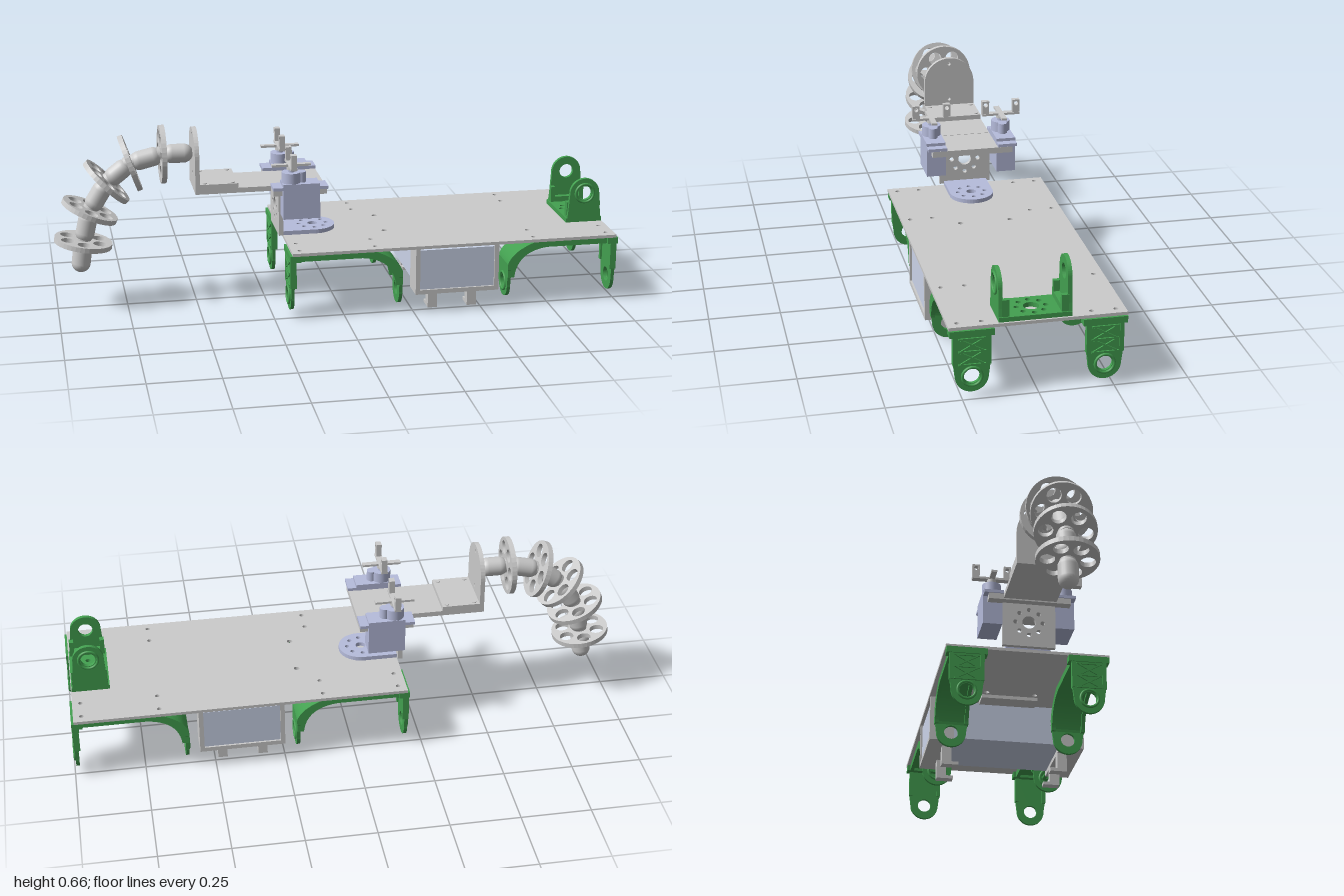
import * as THREE from 'three';

const mat = (color) => new THREE.MeshStandardMaterial({ color });
const GREY = mat(0xcccccc), GREEN = mat(0x43a050), BLUE = mat(0xccd5ea), SERVO = mat(0xb6bcdc);

function add(parent, name, geometry, material) {
  const mesh = new THREE.Mesh(geometry, material);
  mesh.name = name;
  parent.add(mesh);
  return mesh;
}

// Box given by its limits on each axis
function box(parent, name, material, x0, x1, y0, y1, z0, z1) {
  const mesh = add(parent, name, new THREE.BoxGeometry(x1 - x0, y1 - y0, z1 - z0), material);
  mesh.position.set((x0 + x1) / 2, (y0 + y1) / 2, (z0 + z1) / 2);
  return mesh;
}

function outline(points, holes = []) {
  const s = new THREE.Shape(points.map(([a, b]) => new THREE.Vector2(a, b)));
  for (const [a, b, r] of holes) s.holes.push(new THREE.Path().absarc(a, b, r, 0, Math.PI * 2, true));
  return s;
}
const extrude = (shape, depth) => new THREE.ExtrudeGeometry(shape, { depth, bevelEnabled: false, curveSegments: 20 });
// Shape in (x, z), top face at the given height
const flat = (shape, top, t) => extrude(shape, t).rotateX(Math.PI / 2).translate(0, top, 0);
// Shape in (z, y), largest x given
const upright = (shape, xMax, t) => extrude(shape, t).rotateY(-Math.PI / 2).translate(xMax, 0, 0);

const ringHoles = (cx, cy, ring, r, n) => Array.from({ length: n }, (_, i) => {
  const a = (i / n) * Math.PI * 2;
  return [cx + ring * Math.cos(a), cy + ring * Math.sin(a), r];
});

// Points of a semicircle, counter-clockwise from angle a0
const half = (cx, cy, r, a0) => Array.from({ length: 25 }, (_, i) => {
  const a = a0 + (i / 24) * Math.PI;
  return [cx + r * Math.cos(a), cy + r * Math.sin(a)];
});

// Curved band of the leg bracket, seen from the front
function archShape(t) {
  const s = new THREE.Shape();
  s.moveTo(-0.19, 0.243);
  s.lineTo(-0.19, 0.243 - t);
  s.lineTo(0.06, 0.243 - t);
  s.bezierCurveTo(0.13, 0.237 - t, 0.2 - t, 0.18, 0.207 - t, 0.11);
  s.lineTo(0.207, 0.11);
  s.lineTo(0.207, 0.16);
  s.bezierCurveTo(0.195, 0.2, 0.15, 0.225, 0.1, 0.243);
  return s;
}

// Leg bracket: straight outer arm on -x, arched inner arm on +x
function legBracket() {
  const g = new THREE.Group();
  g.name = 'legBracket';
  add(g, 'archSheet', extrude(archShape(0.012), 0.1).translate(0, 0, -0.05), GREEN);
  for (const s of [-1, 1]) {
    add(g, 'archRail', extrude(archShape(0.024), 0.014).translate(0, 0, s * 0.055 - 0.007), GREEN);
    box(g, 'armRail', GREEN, -0.197, -0.175, 0.12, 0.23, s * 0.055 - 0.007, s * 0.055 + 0.007);
  }
  const arm = (top) => outline(
    [[0.0625, top], [-0.0625, top], [-0.06, 0.12], ...half(0, 0.08, 0.055, Math.PI), [0.06, 0.12]],
    [[0, 0.08, 0.026]]);
  add(g, 'outerArm', upright(arm(0.24), -0.182, 0.012), GREEN);
  add(g, 'innerArm', upright(arm(0.14), 0.207, 0.012), GREEN);
  box(g, 'outerLip', GREEN, -0.198, -0.16, 0.22, 0.243, -0.073, 0.073);
  for (const x of [-0.196, 0.207]) {
    const ring = add(g, 'jointRing', new THREE.TorusGeometry(0.032, 0.005, 8, 28).rotateY(Math.PI / 2), GREEN);
    ring.position.set(x, 0.08, 0);
  }
  // crossed ribs on the outer arm
  for (const y of [0.145, 0.19]) for (const s of [-1, 1]) {
    const rib = add(g, 'rib', new THREE.BoxGeometry(0.006, 0.006, 0.085), GREEN);
    rib.position.set(-0.196, y, 0);
    rib.rotation.x = s * 0.5;
  }
  for (const y of [0.122, 0.168, 0.213]) box(g, 'crossRib', GREEN, -0.199, -0.19, y - 0.003, y + 0.003, -0.045, 0.045);
  return g;
}

// U-shaped servo bracket on the deck
function deckBracket() {
  const g = new THREE.Group();
  g.name = 'deckBracket';
  const base = outline([[0.852, -0.11], [0.987, -0.11], [0.987, 0.13], [0.852, 0.13]],
    [[0.92, 0.01, 0.026], ...ringHoles(0.92, 0.01, 0.048, 0.009, 8)]);
  add(g, 'bracketBase', flat(base, 0.272, 0.016), GREEN);
  for (const [z, cy, s] of [[0.116, 0.365, 1], [-0.11, 0.385, -1]]) {
    const arm = outline([[0.855, 0.256], [0.985, 0.256], [0.98, 0.3], ...half(0.92, cy, 0.055, 0), [0.86, 0.3]],
      [[0.92, cy, 0.026]]);
    add(g, 'bracketArm', extrude(arm, 0.014).translate(0, 0, z), GREEN);
    const ring = add(g, 'bracketRing', new THREE.TorusGeometry(0.034, 0.005, 8, 28), GREEN);
    ring.position.set(0.92, cy, z + 0.007 + s * 0.007);
    const inside = z + 0.007 - s * 0.016;
    for (const x of [0.865, 0.975]) box(g, 'bracketRib', GREEN, x - 0.008, x + 0.008, 0.27, 0.33, inside - 0.012, inside + 0.012);
    box(g, 'bracketFoot', GREEN, 0.86, 0.98, 0.262, 0.292, inside - 0.012, inside + 0.012);
  }
  return g;
}

// Servo with cross horn and two drilled posts
function servo() {
  const g = new THREE.Group();
  g.name = 'servo';
  box(g, 'servoBody', SERVO, -0.202, -0.07, 0.34, 0.468, -0.035, 0.035);
  box(g, 'servoEars', SERVO, -0.237, -0.04, 0.446, 0.457, -0.035, 0.035);
  add(g, 'gearCap', new THREE.CylinderGeometry(0.034, 0.034, 0.04, 28), SERVO).position.set(-0.168, 0.486, 0);
  add(g, 'smallCap', new THREE.CylinderGeometry(0.017, 0.017, 0.04, 20), SERVO).position.set(-0.132, 0.486, 0);
  add(g, 'shaft', new THREE.CylinderGeometry(0.012, 0.012, 0.03, 16), SERVO).position.set(-0.168, 0.515, 0);
  add(g, 'hornHub', new THREE.CylinderGeometry(0.016, 0.016, 0.018, 20), GREY).position.set(-0.168, 0.524, 0);
  box(g, 'hornBar', GREY, -0.18, -0.156, 0.527, 0.535, -0.07, 0.07);
  box(g, 'hornCrossBar', GREY, -0.238, -0.098, 0.527, 0.535, -0.01, 0.01);
  for (const s of [-1, 1]) {
    const z = s * 0.057;
    const post = outline([[z - 0.013, 0.53], [z + 0.013, 0.53], [z + 0.013, 0.583], [z - 0.013, 0.583]], [[z, 0.569, 0.008]]);
    add(g, 'hornPost', upright(post, -0.158, 0.02), GREY);
  }
  return g;
}

// Bending arm: drilled discs joined by rounded links
function tentacle() {
  const g = new THREE.Group();
  g.name = 'flexibleArm';
  const pts = [[-0.5, 0.557], [-0.61, 0.557], [-0.725, 0.53], [-0.81, 0.465], [-0.873, 0.363], [-0.9, 0.247], [-0.915, 0.135]]
    .map(([x, y]) => new THREE.Vector3(x, y, 0));
  const tilts = [180, 199, 225, 246, 260];
  const up = new THREE.Vector3(0, 1, 0);
  for (let i = 0; i < pts.length - 1; i++) {
    const dir = pts[i + 1].clone().sub(pts[i]);
    const len = dir.length();
    const link = add(g, 'link', new THREE.CapsuleGeometry(0.034, len - 0.068, 8, 24), GREY);
    link.position.copy(pts[i]).addScaledVector(dir, 0.5);
    link.quaternion.setFromUnitVectors(up, dir.normalize());
  }
  const disc = new THREE.Shape().absarc(0, 0, 0.104, 0, Math.PI * 2);
  for (const [a, b, r] of ringHoles(0, 0, 0.066, 0.025, 6)) disc.holes.push(new THREE.Path().absarc(a, b, r, 0, Math.PI * 2, true));
  const geometry = extrude(disc, 0.018).translate(0, 0, -0.009).rotateY(Math.PI / 2);
  tilts.forEach((deg, i) => {
    const holder = new THREE.Group();
    holder.name = 'discJoint';
    add(holder, 'disc', geometry, GREY);
    add(holder, 'discHub', new THREE.CylinderGeometry(0.027, 0.027, 0.04, 20).rotateZ(Math.PI / 2), GREY);
    holder.position.copy(pts[i + 1]);
    holder.rotation.z = THREE.MathUtils.degToRad(deg);
    g.add(holder);
  });
  return g;
}

export function createModel() {
  const model = new THREE.Group();
  model.name = 'walkingRobot';

  // Deck with screw holes
  const holes = [[0.18, 0.09, 0.01], [0.18, -0.09, 0.01]];
  for (const x of [-0.16, 0.11, 0.69, 0.96]) for (const z of [-0.26, -0.18, 0.18, 0.26]) holes.push([x, z, 0.008]);
  add(model, 'deck', flat(outline([[-0.19, -0.293], [0.99, -0.293], [0.99, 0.293], [-0.19, 0.293]], holes), 0.254, 0.011), GREY);

  // Leg brackets
  for (const z of [-0.218, 0.218]) for (const back of [0, 1]) {
    const b = legBracket();
    b.position.set(back * 0.8, 0, z);
    b.rotation.y = back * Math.PI;
    model.add(b);
  }
  model.add(deckBracket());

  // Battery, its end frames and feet
  box(model, 'battery', BLUE, 0.267, 0.54, 0.088, 0.235, -0.283, 0.283);
  box(model, 'mountPlate', GREY, 0.2, 0.6, 0.23, 0.243, -0.105, 0.105);
  for (const s of [-1, 1]) {
    const z = s * 0.245;
    box(model, 'frameBottom', GREY, 0.252, 0.556, 0.072, 0.088, z - 0.045, z + 0.045);
    for (const x of [0.252, 0.54]) box(model, 'frameSide', GREY, x, x + 0.016, 0.088, 0.243, z - 0.045, z + 0.045);
    for (const x of [0.327, 0.472]) {
      box(model, 'footPost', GREY, x - 0.017, x + 0.017, 0, 0.075, s * 0.218 - 0.018, s * 0.218 + 0.018);
      box(model, 'footPad', GREY, x - 0.017, x + 0.017, 0, 0.012, s * 0.19 - 0.016, s * 0.19 + 0.016);
    }
  }

  // Arm mount: horn plate, drilled panel, shelf and end plate
  const horn = outline([[-0.19, -0.08], ...half(-0.07, 0, 0.08, -Math.PI / 2), [-0.19, 0.08]],
    [[-0.07, 0, 0.018], ...ringHoles(-0.07, 0, 0.05, 0.008, 8)]);
  add(model, 'hornPlate', flat(horn, 0.269, 0.015), SERVO);
  const panel = outline([[-0.095, 0.258], [0.095, 0.258], [0.095, 0.43], [-0.095, 0.43]],
    [[0, 0.352, 0.024], ...ringHoles(0, 0.352, 0.049, 0.008, 8)]);
  add(model, 'armPanel', upright(panel, -0.192, 0.016), GREY);
  box(model, 'shelf', GREY, -0.5, -0.2, 0.428, 0.446, -0.095, 0.095);
  box(model, 'shelfStep', GREY, -0.5, -0.352, 0.44, 0.463, -0.095, 0.095);
  box(model, 'servoShelf', GREY, -0.235, -0.042, 0.423, 0.445, -0.148, 0.148);
  for (const x of [-0.47, -0.37]) for (const s of [-1, 1])
    add(model, 'screw', new THREE.CylinderGeometry(0.008, 0.008, 0.004, 14), GREY).position.set(x, 0.464, s * 0.08);
  const endPlate = outline([[-0.095, 0.428], [0.095, 0.428], ...half(0, 0.555, 0.095, 0)],
    [[0, 0.627, 0.006], [0, 0.485, 0.006]]);
  add(model, 'endPlate', upright(endPlate, -0.488, 0.016), GREY);

  for (const s of [-1, 1]) {
    const unit = servo();
    unit.position.z = s * 0.13;
    model.add(unit);
  }
  model.add(tentacle());
  return model;
}
